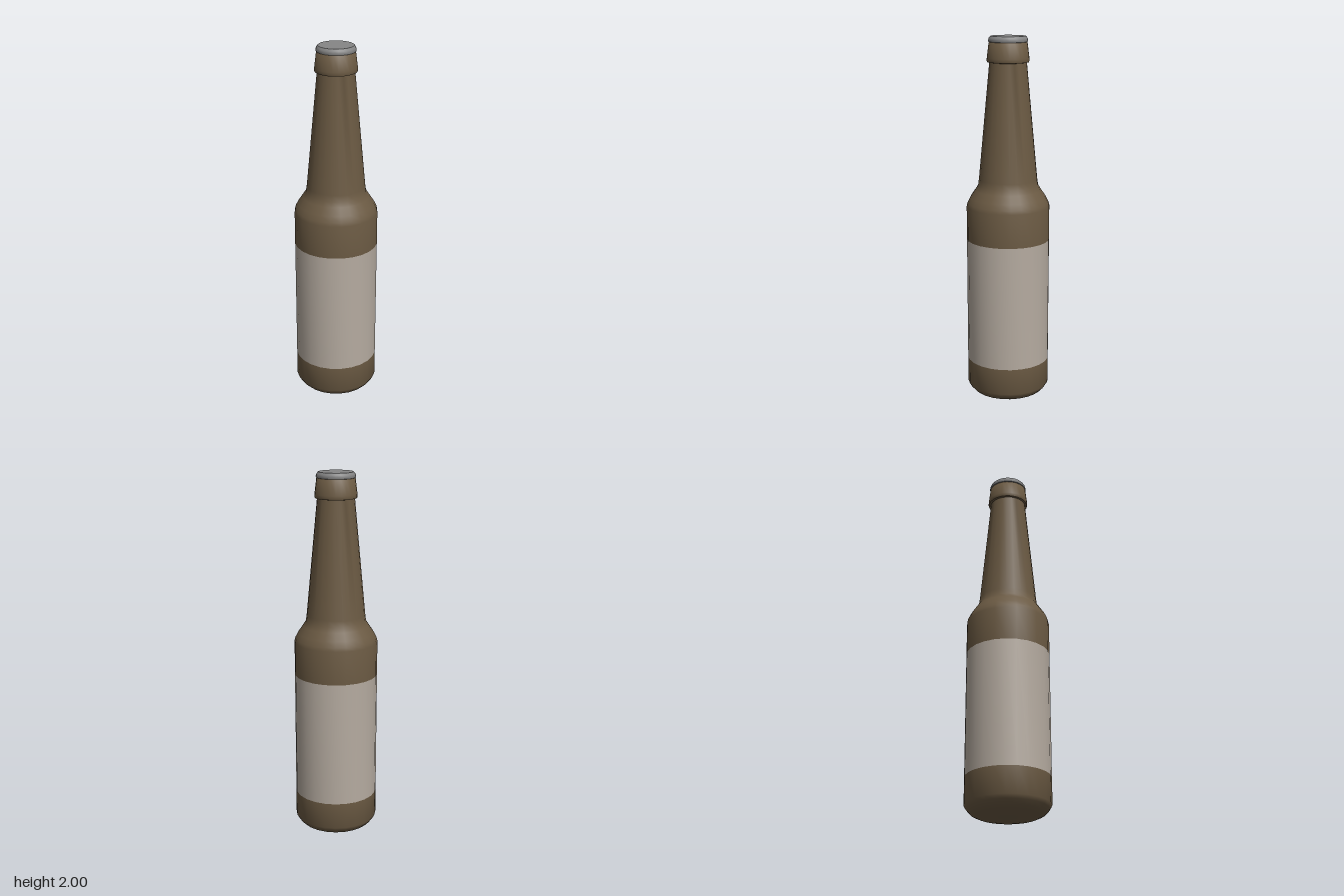
import * as THREE from 'three';
import { toCreasedNormals } from 'three/addons/utils/BufferGeometryUtils.js';

const SIDES = 24;

// Revolve a [radius, height] profile, listed bottom to top
function turned(name, profile, color, crease = 0.9) {
  const points = profile.map(([r, y]) => new THREE.Vector2(r, y));
  const geometry = toCreasedNormals(new THREE.LatheGeometry(points, SIDES), crease);
  const mesh = new THREE.Mesh(geometry, new THREE.MeshStandardMaterial({ color }));
  mesh.name = name;
  return mesh;
}

export function createModel() {
  const group = new THREE.Group();
  group.name = 'bottle';
  const glass = 0x6b5a43, paper = 0xb5aba0, metal = 0x868686;
  const R = 0.227, labelBottom = 0.21, labelTop = 0.9;

  // Rounded base up to the label
  group.add(turned('base', [
    [0, 0.005], [0.13, 0.005], [0.165, 0.01], [0.195, 0.024],
    [0.215, 0.045], [R, 0.065], [R, labelBottom],
  ], glass));

  // Label band flush with the body
  group.add(turned('label', [[R, labelBottom], [R, labelTop]], paper));

  // Upper body, shoulder, tapering neck and flared lip
  group.add(turned('shoulderAndNeck', [
    [R, labelTop], [R, 1.085], [0.222, 1.105], [0.207, 1.135], [0.18, 1.175],
    [0.164, 1.2], [0.159, 1.235], [0.1, 1.862], [0.111, 1.864], [0.114, 1.872],
    [0.113, 1.885], [0.103, 1.965], [0.09, 1.975],
  ], glass));

  // Cap with a bevelled rim
  group.add(turned('cap', [
    [0, 1.972], [0.098, 1.968], [0.104, 1.97], [0.106, 1.976], [0.102, 1.99],
    [0.094, 2], [0, 2],
  ], metal));

  return group;
}
